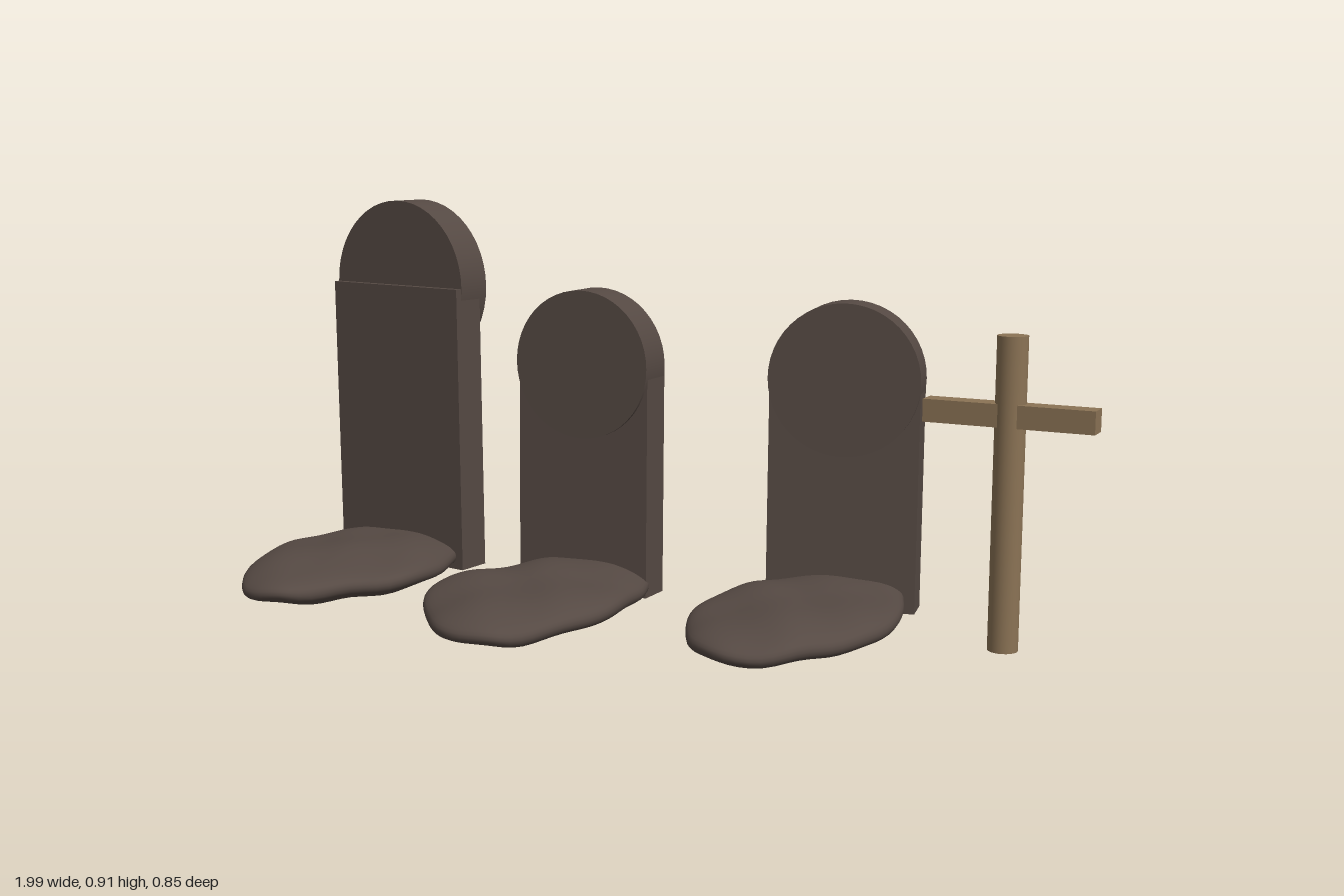
import * as THREE from 'three';
import { mergeVertices } from 'three/addons/utils/BufferGeometryUtils.js';

const stone = new THREE.MeshStandardMaterial({ color: 0x554943 });
stone.name = 'dark stone';
const wood = new THREE.MeshStandardMaterial({ color: 0x8b7355 });
wood.name = 'wood';

function part(name, geometry, material, x = 0, y = 0, z = 0) {
  const mesh = new THREE.Mesh(geometry, material);
  mesh.name = name;
  mesh.position.set(x, y, z);
  return mesh;
}

// Headstone: a slab, slightly tilted, with a full disc forming the round top
function headstone({ x, z, radius, top, turn, topShift, bottomShift }) {
  const group = new THREE.Group();
  group.name = 'headstone';
  group.position.set(x, 0, z);
  group.rotation.y = turn;
  const centerY = top - radius, bottom = 0.027;
  const disc = part('roundTop', new THREE.CylinderGeometry(radius, radius, 0.09, 48), stone, 0, centerY, 0);
  disc.rotation.x = Math.PI / 2;
  const height = centerY - bottom;
  const slab = part('slab', new THREE.BoxGeometry(radius * 2 - 0.004, height, 0.084), stone,
    0, bottom + height / 2, (topShift + bottomShift) / 2);
  slab.rotation.x = Math.atan2(topShift - bottomShift, height);
  group.add(disc, slab);
  return group;
}

// Mound: a flattened sphere stretched to a ground outline, with gentle lumps.
// The outline runs left, front, right, back as [x, z].
function mound(outline, seed) {
  const curve = new THREE.CatmullRomCurve3(outline.map(([x, z]) => new THREE.Vector3(x, 0, z)), true);
  const center = new THREE.Box3().setFromPoints(curve.points).getCenter(new THREE.Vector3());
  const geometry = new THREE.SphereGeometry(1, 64, 28);
  const pos = geometry.attributes.position, uv = geometry.attributes.uv;
  const p = new THREE.Vector3();
  for (let i = 0; i < pos.count; i++) {
    const reach = Math.hypot(pos.getX(i), pos.getZ(i));
    const rise = pos.getY(i);
    curve.getPoint(uv.getX(i) % 1, p).lerp(center, 1 - reach);
    const lump = Math.sin(p.x * 17 + seed) * Math.cos(p.z * 14 + seed * 2)
      + 0.5 * Math.sin(p.x * 31 - p.z * 23 + seed);
    const y = 0.06 + 0.048 * Math.sign(rise) * Math.pow(Math.abs(rise), 0.85) + 0.005 * lump;
    pos.setXYZ(i, p.x, Math.max(y, 0), p.z);
  }
  geometry.deleteAttribute('uv');
  geometry.deleteAttribute('normal');
  const smooth = mergeVertices(geometry, 1e-5);
  smooth.computeVertexNormals();
  return part('mound', smooth, stone);
}

export function createModel() {
  const model = new THREE.Group();
  model.name = 'graves';

  const stones = [
    { x: -0.76, z: -0.257, radius: 0.205, top: 0.92, turn: -0.14, topShift: 0.02, bottomShift: 0.012 },
    { x: -0.215, z: -0.191, radius: 0.171, top: 0.73, turn: 0, topShift: -0.006, bottomShift: 0.001 },
    { x: 0.37, z: -0.32, radius: 0.171, top: 0.717, turn: 0.2, topShift: -0.008, bottomShift: 0.007 },
  ];
  const outlines = [
    [[-0.995, -0.02], [-0.955, 0.14], [-0.88, 0.27], [-0.82, 0.33], [-0.76, 0.35], [-0.69, 0.33], [-0.63, 0.21],
      [-0.55, 0.11], [-0.545, -0.03], [-0.57, -0.13], [-0.65, -0.3], [-0.76, -0.35], [-0.87, -0.32],
      [-0.95, -0.22], [-0.985, -0.13]],
    [[-0.455, 0.08], [-0.42, 0.2], [-0.33, 0.32], [-0.25, 0.4], [-0.18, 0.42], [-0.1, 0.395], [-0.05, 0.3],
      [-0.01, 0.2], [0.005, 0.1], [-0.015, -0.03], [-0.03, -0.12], [-0.09, -0.24], [-0.2, -0.29],
      [-0.31, -0.24], [-0.37, -0.14], [-0.42, -0.03]],
    [[0.155, -0.05], [0.165, 0.05], [0.21, 0.16], [0.27, 0.25], [0.36, 0.29], [0.45, 0.25], [0.51, 0.15],
      [0.56, 0.05], [0.58, -0.04], [0.57, -0.15], [0.53, -0.28], [0.48, -0.38], [0.38, -0.425],
      [0.27, -0.38], [0.2, -0.25], [0.17, -0.15]],
  ];
  stones.forEach((s, i) => model.add(headstone(s), mound(outlines[i], i * 1.7 + 0.5)));

  // Wooden cross
  const cross = new THREE.Group();
  cross.name = 'cross';
  cross.position.set(0.82, 0, -0.06);
  cross.add(
    part('post', new THREE.CylinderGeometry(0.031, 0.031, 0.643, 24), wood, 0, 0.372, 0),
    part('crossbar', new THREE.BoxGeometry(0.35, 0.047, 0.047), wood, 0, 0.534, 0),
  );
  model.add(cross);
  return model;
}
